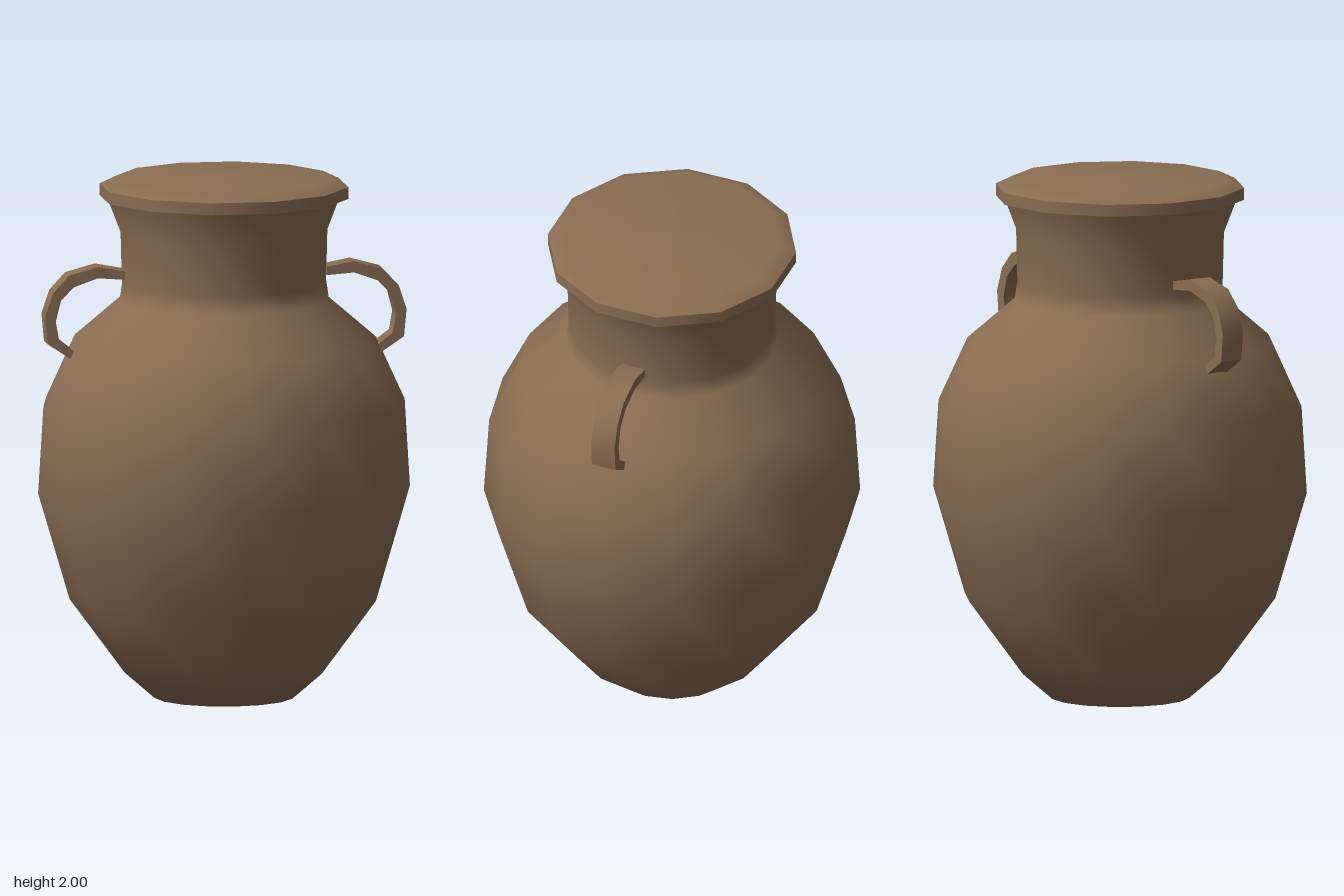
import * as THREE from 'three';
import { toCreasedNormals } from 'three/addons/utils/BufferGeometryUtils.js';

export function createModel() {
  const model = new THREE.Group();
  model.name = 'lidded jar';

  const clay = new THREE.MeshStandardMaterial({ color: 0x8a6d52 });
  clay.name = 'brown clay';

  const vectors = (points) => points.map(([x, y]) => new THREE.Vector2(x, y));
  const add = (parent, name, geometry) => {
    const mesh = new THREE.Mesh(geometry, clay);
    mesh.name = name;
    parent.add(mesh);
    return mesh;
  };

  // Body and neck: one smooth 16-sided turned form
  const bodyProfile = vectors([
    [0, 0], [0.265, 0], [0.38, 0.1], [0.59, 0.385], [0.71, 0.79], [0.69, 1.12],
    [0.58, 1.36], [0.4, 1.515], [0.39, 1.58], [0.395, 1.78], [0.445, 1.91],
  ]);
  add(model, 'body', new THREE.LatheGeometry(bodyProfile, 16));

  // Lid: 12 sides with a flat facing each axis; separate bands keep the rim sharp
  const lid = new THREE.Group();
  lid.name = 'lid';
  model.add(lid);
  const lidBand = (name, points) =>
    add(lid, name, new THREE.LatheGeometry(vectors(points), 12, Math.PI / 12));
  lidBand('lidUnderside', [[0, 1.905], [0.472, 1.905]]);
  lidBand('lidRim', [[0.472, 1.905], [0.472, 1.95]]);
  lidBand('lidTop', [[0.472, 1.95], [0.41, 1.98], [0, 2]]);

  // Handles: flat strap bent from the neck down to the shoulder
  const outer = [
    [0.385, 1.637], [0.487, 1.656], [0.6, 1.625], [0.66, 1.56],
    [0.69, 1.47], [0.68, 1.365], [0.59, 1.305],
  ];
  const inner = [
    [0.385, 1.605], [0.49, 1.613], [0.582, 1.58], [0.63, 1.53],
    [0.65, 1.45], [0.637, 1.38], [0.565, 1.325],
  ];
  const strap = new THREE.ExtrudeGeometry(
    new THREE.Shape(vectors([...outer, ...inner.reverse()])),
    { depth: 0.096, bevelEnabled: false },
  );
  strap.translate(0, 0, -0.048);
  const handleGeometry = toCreasedNormals(strap, 0.8);
  add(model, 'leftHandle', handleGeometry);
  add(model, 'rightHandle', handleGeometry).rotation.y = Math.PI;

  return model;
}
